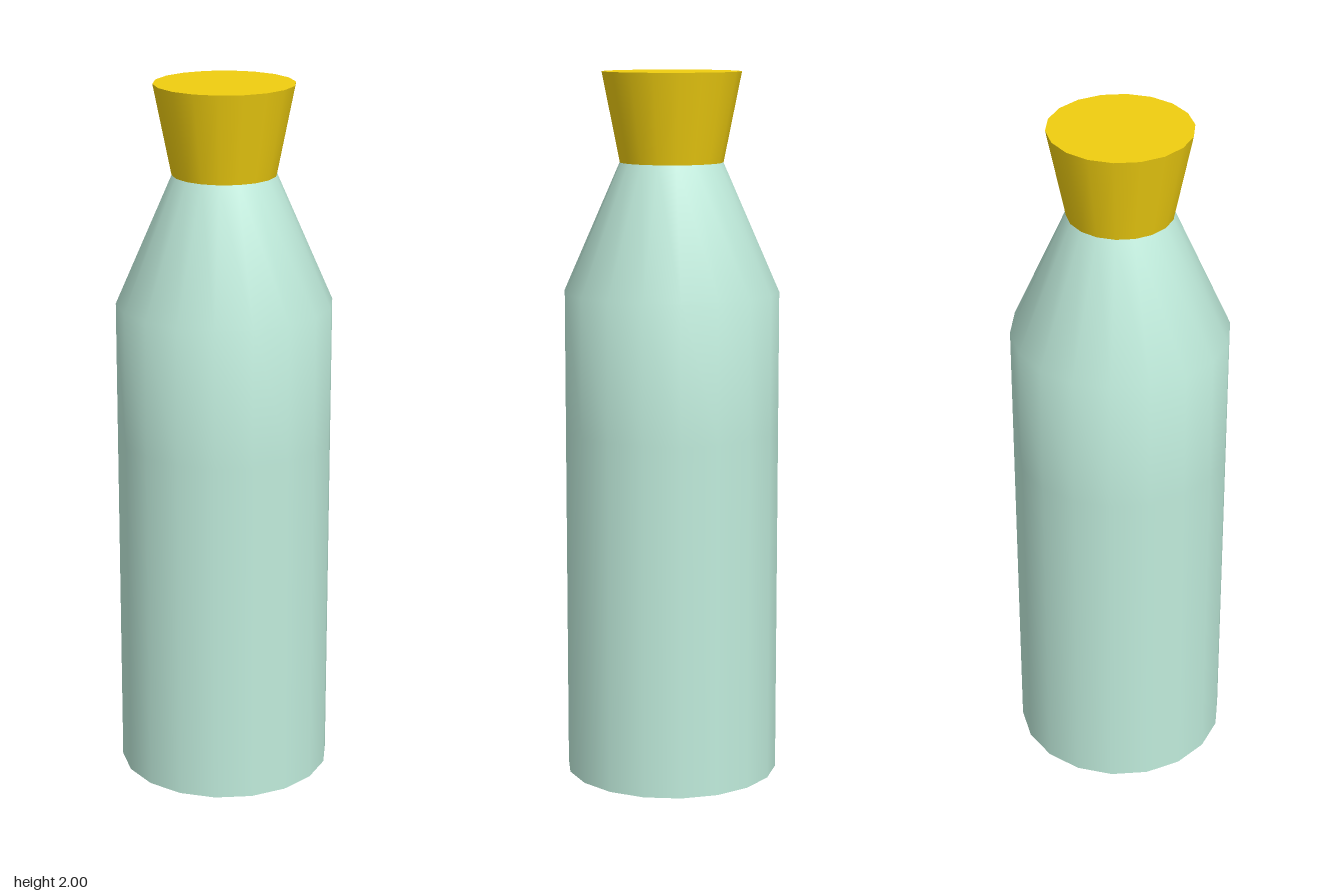
import * as THREE from 'three';

const SIDES = 18;
const START = Math.PI / 2; // puts a corner on the x axis

function part(name, geometry, color) {
  const mesh = new THREE.Mesh(geometry, new THREE.MeshStandardMaterial({ color }));
  mesh.name = name;
  return mesh;
}

export function createModel() {
  const group = new THREE.Group();
  group.name = 'bottle';
  const glass = 0xc0ecdc;

  // Straight body and tapering shoulder, smooth-shaded as one surface
  const profile = [[0.303, 0], [0.303, 1], [0.303, 1.39], [0.145, 1.75]]
    .map(([r, y]) => new THREE.Vector2(r, y));
  group.add(part('body', new THREE.LatheGeometry(profile, SIDES, START), glass));

  // Flat underside
  const base = new THREE.CircleGeometry(0.303, SIDES).rotateX(Math.PI / 2);
  group.add(part('base', base, glass));

  // Liquid filling the straight lower body
  const liquid = new THREE.CylinderGeometry(0.295, 0.295, 0.99, SIDES, 1, false, START);
  liquid.translate(0, 0.5, 0);
  group.add(part('liquid', liquid, 0x7488e0));

  // Flared stopper
  const stopper = new THREE.CylinderGeometry(0.195, 0.145, 0.25, SIDES, 1, false, START);
  stopper.translate(0, 1.875, 0);
  group.add(part('stopper', stopper, 0xf0ce10));

  return group;
}
